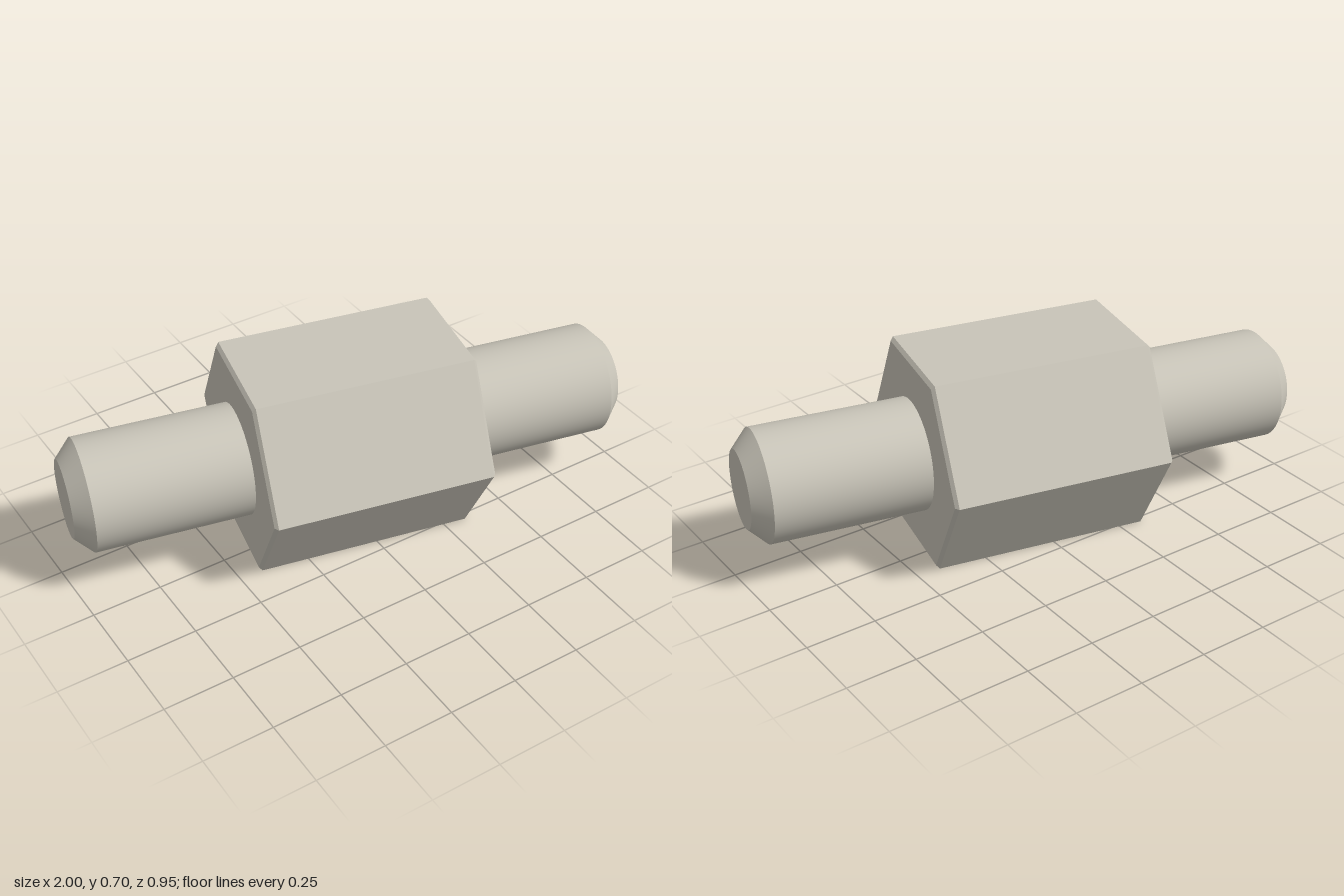
import * as THREE from 'three';
import { toCreasedNormals } from 'three/addons/utils/BufferGeometryUtils.js';

const AXIS_HEIGHT = 0.348;
const YAW = -0.21; // the axis swings toward +z on the +x side

// Turned solid around the x axis from [radius, position] pairs, with crisp edges
function turned(profile, sides, crease) {
  const points = profile.map(([r, a]) => new THREE.Vector2(r, a));
  const geometry = new THREE.LatheGeometry(points, sides);
  geometry.rotateZ(-Math.PI / 2);
  return toCreasedNormals(geometry, crease);
}

export function createModel() {
  const group = new THREE.Group();
  group.name = 'hexStandoff';
  const metal = new THREE.MeshStandardMaterial({ color: 0xc8c4b8 });
  metal.name = 'warm grey metal';

  // Hexagonal body with a fine bevel at both ends
  const R = 0.402, r = 0.388;
  const body = new THREE.Mesh(
    turned([[0, -0.392], [r, -0.392], [R, -0.381], [R, 0.381], [r, 0.392], [0, 0.392]], 6, 0.1), metal);
  body.name = 'hexBody';
  group.add(body);

  // Round studs with chamfered tips, one on each end
  const studGeometry = turned([[0.197, 0.385], [0.197, 0.933], [0.136, 0.993], [0, 0.993]], 72, 0.4);
  for (const [name, turn] of [['leftStud', 0], ['rightStud', Math.PI]]) {
    const stud = new THREE.Mesh(studGeometry, metal);
    stud.name = name;
    stud.rotation.y = turn;
    group.add(stud);
  }

  group.rotation.y = YAW;
  group.position.y = AXIS_HEIGHT;
  return group;
}
